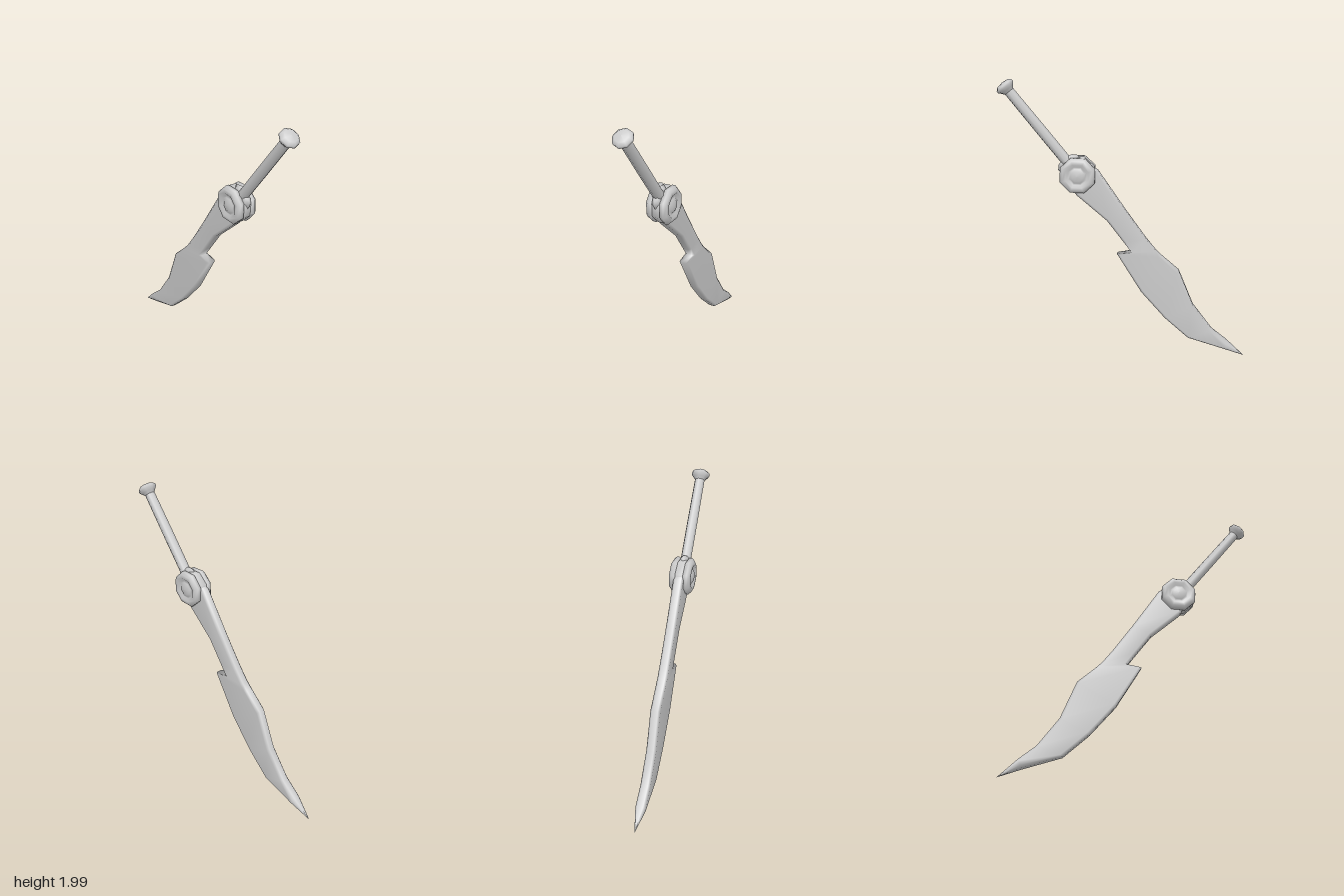
import * as THREE from 'three';

const material = new THREE.MeshStandardMaterial({ color: 0xcccccc, roughness: 0.7 });

function addMesh(parent, geometry, name) {
  const mesh = new THREE.Mesh(geometry, material);
  mesh.name = name;
  parent.add(mesh);
  return mesh;
}

const lathe = (profile, sides = 8) =>
  new THREE.LatheGeometry(profile.map(([r, y]) => new THREE.Vector2(r, y)), sides);

// Blade: bevelled cross-sections from tip to guard
// Each section: back edge x, y, cutting edge x, y, half thickness
function bladeGeometry() {
  const sections = [
    [-0.86, 0.0, -0.86, 0.0, 0],
    [-0.73, 0.12, -0.71, 0.06, 0.035],
    [-0.62, 0.21, -0.45, 0.145, 0.035],
    [-0.48, 0.4, -0.28, 0.3, 0.035],
    [-0.375, 0.66, -0.11, 0.5, 0.035],
    [-0.25, 0.77, 0.06, 0.785, 0.035],
    [-0.21, 0.81, -0.04, 0.8, 0.035],
    [-0.14, 0.9, 0.015, 0.875, 0.035],
    [0.0, 1.1, 0.13, 1.03, 0.035],
    [0.19, 1.385, 0.335, 1.21, 0.035],
    [0.3, 1.43, 0.4, 1.31, 0.035],
  ];
  const positions = [], index = [];
  for (const [lx, ly, rx, ry, h] of sections) {
    const width = Math.hypot(rx - lx, ry - ly);
    const k = width ? Math.min(0.018 / width, 0.3) : 0;
    const ring = [[0, 0.6], [k, 1], [1 - k, 1], [1, 0.6], [1, -0.6], [1 - k, -1], [k, -1], [0, -0.6]];
    for (const [t, z] of ring) positions.push(lx + (rx - lx) * t, ly + (ry - ly) * t, z * h);
  }
  for (let i = 0; i < sections.length - 1; i++) {
    for (let j = 0; j < 8; j++) {
      const a = i * 8 + j, b = i * 8 + (j + 1) % 8;
      index.push(a, b, b + 8, a, b + 8, a + 8);
    }
  }
  const geometry = new THREE.BufferGeometry();
  geometry.setAttribute('position', new THREE.Float32BufferAttribute(positions, 3));
  geometry.setIndex(index);
  geometry.computeVertexNormals();
  return geometry;
}

export function createModel() {
  const model = new THREE.Group();
  model.name = 'sword';

  addMesh(model, bladeGeometry(), 'blade');

  // Guard: a core between two rounded octagonal discs with a dished centre
  const guard = new THREE.Group();
  guard.name = 'guard';
  guard.position.set(0.325, 1.355, 0);
  model.add(guard);

  const core = addMesh(guard, lathe([
    [0, -0.04], [0.11, -0.04], [0.125, -0.02], [0.125, 0.02], [0.11, 0.04], [0, 0.04],
  ]), 'guardCore');
  core.rotation.set(Math.PI / 2, 0.35, 0);

  const disc = lathe([
    [0, 0.02], [0.105, 0.02], [0.128, 0.032], [0.128, 0.055], [0.11, 0.073],
    [0.085, 0.077], [0.066, 0.062], [0.052, 0.066], [0.035, 0.077], [0, 0.079],
  ]);
  disc.rotateY(0.35);
  for (const side of [1, -1]) {
    const mesh = addMesh(guard, disc, side > 0 ? 'frontDisc' : 'backDisc');
    mesh.rotation.x = side * Math.PI / 2;
  }

  // Hilt: collar, grip and pommel share one tilted axis
  const hilt = new THREE.Group();
  hilt.name = 'hilt';
  hilt.position.set(0.38, 1.42, 0);
  hilt.rotation.z = -Math.atan2(0.42, 0.533);
  model.add(hilt);

  const collar = addMesh(hilt, lathe([
    [0, -0.06], [0.085, -0.06], [0.085, 0.02], [0.06, 0.045], [0.03, 0.055], [0, 0.055],
  ]), 'collar');
  collar.scale.z = 0.42;

  addMesh(hilt, lathe([[0.037, -0.02], [0.037, 0.3], [0.035, 0.66]]), 'grip');

  addMesh(hilt, lathe([
    [0.034, 0.625], [0.05, 0.645], [0.066, 0.662], [0.065, 0.678], [0.045, 0.694], [0, 0.7],
  ]), 'pommel');

  return model;
}
